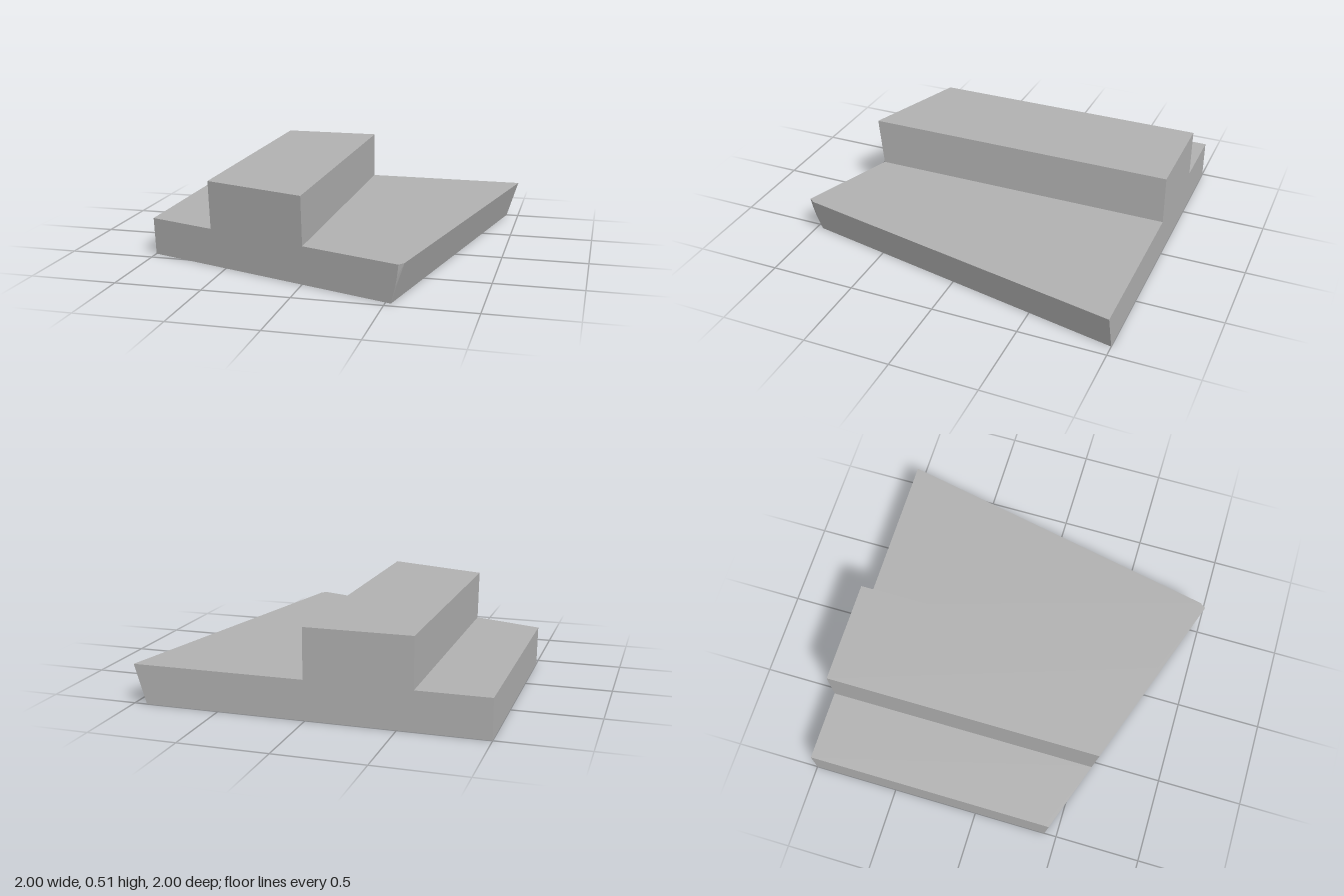
import * as THREE from 'three';

// Sloping planes that bound the block at the front and on the left
const frontZ = (x, y) => 0.45 + 0.349 * (x + 1) + 0.1 * (y - 0.225);
const sideX = (y, z) => 0.995 - 0.201 * (z + 1) + 0.31 * (y - 0.225);

// Blunted front corner, bottom to top: front edge x, height y, side edge z
const corner = [
  [0.531, 0, 0.9615],
  [0.556, 0.1, 0.97],
  [0.567, 0.16, 0.969],
  [0.575, 0.225, 0.965],
];

function bodyGeometry() {
  // Stepped cross-section, with the curved corner as its last edge
  const profile = [
    [-1, 0],
    ...corner.map(([x, y]) => [x, y]),
    [0.01, 0.225], [0.01, 0.51], [-0.59, 0.51], [-0.59, 0.225], [-1, 0.225],
  ];
  const shape = new THREE.Shape(profile.map(([x, y]) => new THREE.Vector2(x, y)));
  const geometry = new THREE.ExtrudeGeometry(shape, { depth: 2, steps: 2, bevelEnabled: false });

  // Move the three rings: flat back, start of the blunted corner, slanted front
  const p = geometry.attributes.position;
  for (let i = 0; i < p.count; i++) {
    const x = p.getX(i), y = p.getY(i), ring = Math.round(p.getZ(i));
    const edge = corner.find(c => Math.abs(c[0] - x) < 1e-4 && Math.abs(c[1] - y) < 1e-4);
    let z = -1;
    if (ring === 1) z = edge ? edge[2] : frontZ(x, y) - 0.03;
    if (ring === 2) z = frontZ(x, y);
    p.setXYZ(i, edge && ring < 2 ? sideX(y, z) : x, y, z);
  }
  geometry.computeVertexNormals();
  return geometry;
}

export function createModel() {
  const group = new THREE.Group();
  group.name = 'steppedBlock';
  const grey = new THREE.MeshStandardMaterial({ color: 0xb0b0b0 });
  grey.name = 'grey';

  // Tapered slab with its raised ridge, one closed body
  const body = new THREE.Mesh(bodyGeometry(), grey);
  body.name = 'slabWithRidge';
  group.add(body);
  return group;
}
